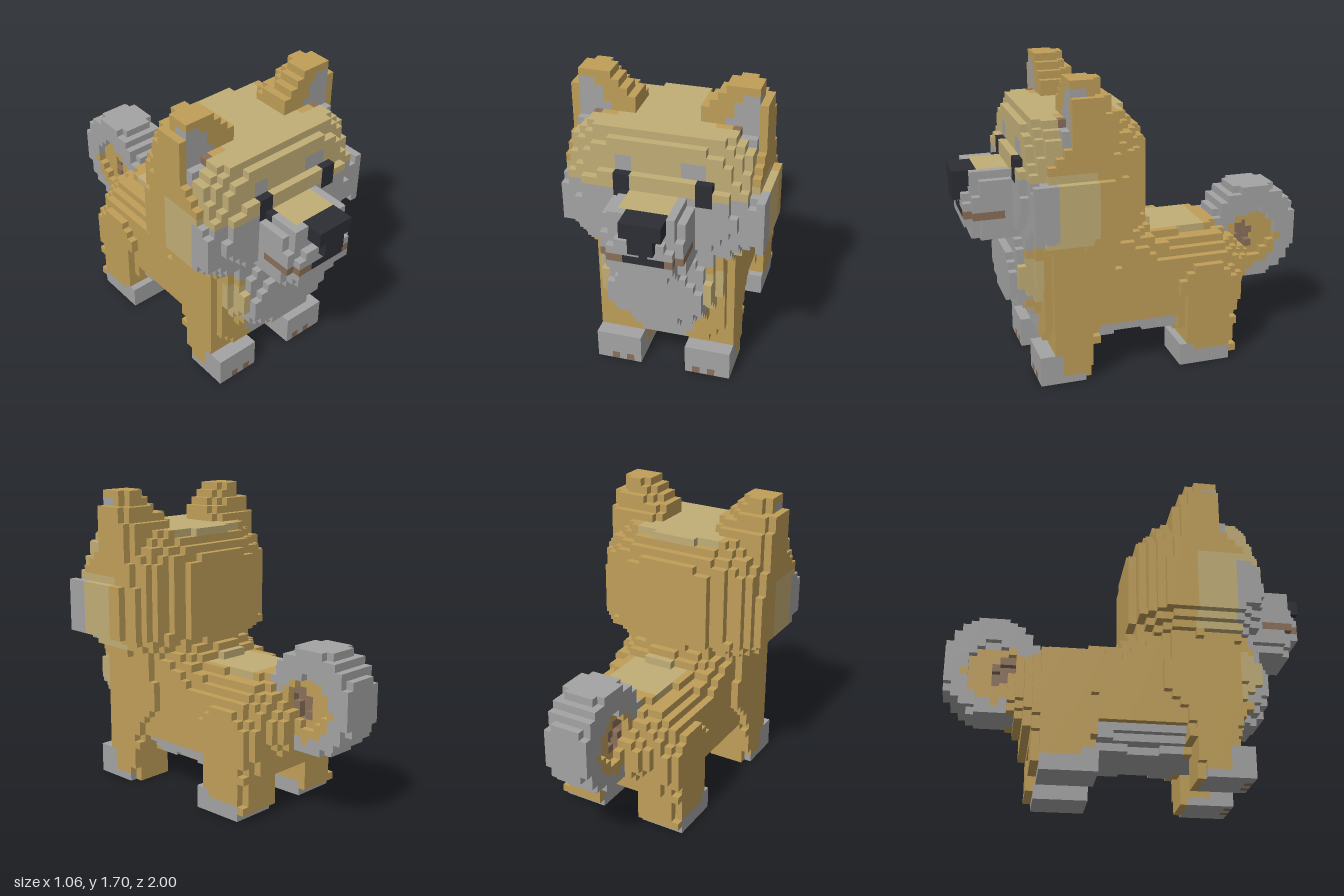
import * as THREE from 'three';

// Voxel grid: 25 wide, 40 high, 47 deep
const V = 2 / 47, NX = 25, NY = 40, NZ = 47;
const TAN = 0xbf9e58, CREAM = 0xc1ad76, GREY = 0xa3a3a3, DARK = 0x2c2e35, BROWN = 0x8a6f59;

// Interpolated sections [t, low, high, halfWidth]; null outside the range
function section(rows, t) {
  for (let i = 0; i < rows.length - 1; i++) {
    const a = rows[i], b = rows[i + 1];
    if (t >= a[0] && t <= b[0]) {
      const f = (t - a[0]) / (b[0] - a[0]);
      return [1, 2, 3].map((k) => a[k] + (b[k] - a[k]) * f);
    }
  }
  return null;
}

// Superellipse cross-section test; n may differ towards the low and high side
function loft(rows, t, x, u, nLow, nHigh = nLow) {
  const s = section(rows, t);
  if (!s) return false;
  const d = (u - (s[0] + s[1]) / 2) / ((s[1] - s[0]) / 2);
  const n = d > 0 ? nHigh : nLow;
  return Math.abs(d) ** n + Math.abs(x / s[2]) ** n <= 1.02;
}
const within = (v, lo, hi) => v > lo && v < hi;

const TORSO = [
  [-0.66, 0.38, 0.6, 0.18], [-0.55, 0.3, 0.7, 0.29], [-0.45, 0.22, 0.76, 0.35], [-0.2, 0.17, 0.77, 0.36],
  [-0.08, 0.17, 0.79, 0.35], [0, 0.17, 0.88, 0.35], [0.3, 0.17, 0.98, 0.37], [0.48, 0.2, 0.98, 0.37],
  [0.62, 0.36, 0.95, 0.32], [0.68, 0.39, 0.85, 0.28], [0.75, 0.45, 0.66, 0.22],
];
const HEAD = [
  [0.76, 0.1, 0.64, 0.38], [0.86, 0.02, 0.67, 0.46], [0.91, -0.02, 0.69, 0.52], [1.05, -0.02, 0.72, 0.525],
  [1.19, -0.02, 0.71, 0.52], [1.32, -0.02, 0.67, 0.5], [1.41, 0.04, 0.65, 0.47], [1.5, 0.1, 0.62, 0.36],
];
const MUZZLE = [
  [0.55, 0.8, 1.2, 0.235], [0.74, 0.8, 1.2, 0.23], [0.88, 0.8, 1.2, 0.2], [0.915, 0.86, 1.2, 0.18],
  [0.92, 0.86, 1.05, 0.175], [0.96, 0.93, 1.05, 0.15],
];
const FRONT_LEG = [
  [0, 0.34, 0.53, 0.385], [0.2, 0.3, 0.54, 0.385], [0.3, 0.24, 0.58, 0.385],
  [0.5, 0.12, 0.62, 0.385], [0.76, 0.1, 0.62, 0.385],
];
const HIND_LEG = [
  [0.04, -0.53, -0.25, 0.385], [0.2, -0.53, -0.21, 0.385], [0.3, -0.58, -0.17, 0.385],
  [0.5, -0.6, -0.15, 0.38], [0.64, -0.5, -0.2, 0.345],
];
// Ears: height, back, front, inner edge
const EAR = [
  [1.1, 0.17, 0.46, 0.3], [1.4, 0.17, 0.46, 0.17], [1.53, 0.2, 0.46, 0.17],
  [1.6, 0.25, 0.46, 0.23], [1.66, 0.28, 0.45, 0.265], [1.71, 0.28, 0.41, 0.31],
];
const tailRadius = (y, z) => Math.hypot((z + 0.745) / 0.262, (y - 0.66) / 0.285);
const legGap = (x, y) => y > 0.21 || Math.abs(x) > 0.128;

// Solid parts in order; a later part claims the cells it shares
const SOLIDS = [
  ['body', TAN, (x, y, z) => loft(TORSO, z, x, y, z > 0.5 ? 2.3 : 2.8, 2.5)],
  ['frontLegs', TAN, (x, y, z) => legGap(x, y) && loft(FRONT_LEG, y, x, z, y > 0.25 ? 4 : 7)],
  ['hindLegs', TAN, (x, y, z) => legGap(x, y) && loft(HIND_LEG, y, x, z, y > 0.25 ? 4 : 7)],
  ['frontPaws', GREY, (x, y, z) => within(Math.abs(x), 0.128, 0.385) &&
    ((y < 0.17 && within(z, 0.49, y > 0.13 ? 0.6 : 0.625)) || (y < 0.045 && within(z, 0.36, 0.6)))],
  ['hindPaws', GREY, (x, y, z) => within(Math.abs(x), 0.128, 0.385) &&
    ((y < 0.13 && within(z, -0.29, -0.19)) || (y < 0.085 && within(z, -0.49, -0.19)))],
  ['head', TAN, (x, y, z) => loft(HEAD, y, x, z, 2.5, 4)],
  ['cheeks', TAN, (x, y, z) => within(z, 0.23, 0.65) &&
    ((x > 0.5 && within(y, 0.9, 1.19)) || (Math.abs(x) < 0.515 && within(y, 0.95, 1.15)))],
  ['ears', TAN, (x, y, z) => {
    const s = section(EAR, y), a = Math.abs(x);
    if (!s) return false;
    const outer = y > 1.62 ? 0.47 : 0.515, back = z - s[0];
    return back > 0 && z < s[1] && within(a, s[2], outer) && back + Math.min(a - s[2], outer - a) > 0.07;
  }],
  ['muzzle', GREY, (x, y, z) => loft(MUZZLE, z, x, y, 3.6)],
  ['nose', DARK, (x, y, z) => within(y, 1.02, 1.2) && within(z, 0.87, 1.01) &&
    Math.abs(x - 0.021) < (y > 1.1 ? 0.1 : 0.06)],
  ['tail', GREY, (x, y, z) => {
    const r = tailRadius(y, z), a = Math.abs(x);
    return a < 0.13 && r < (a > 0.09 ? 0.98 : 1.03) && !(r < 0.5 && a > 0.09) &&
      !(a > 0.04 && Math.hypot(z + 0.66, y - 0.62) < 0.07);
  }],
  ['tailRoot', TAN, (x, y, z) => Math.abs(x) < 0.13 && within(z, -0.62, -0.45) && within(y, 0.42, 0.6)],
];

// Coloured patches that replace cells which are already filled
const PATCHES = [
  ['lightBack', CREAM, (x, y, z) => y > 0.72 && within(z, -0.42, -0.08) && Math.abs(x) < 0.17],
  ['lightShoulders', CREAM, (x, y, z) => within(y, 0.48, 0.74) && z > 0.58 && Math.abs(x) < 0.36],
  ['chest', GREY, (x, y, z) => within(y, 0.17, 0.8) && z > 0.45 && Math.abs(x) < Math.min(0.26, 0.12 + (y - 0.17) * 0.4)],
  ['belly', GREY, (x, y, z) => within(y, 0.16, 0.28) && within(z, -0.2, 0.56) && Math.abs(x) < (z > 0.27 ? 0.14 : 0.36)],
  ['lightFace', CREAM, (x, y, z) => y > 0.8 && z > (y > 1.4 ? 0.5 : 0.34) && Math.abs(x) < (y > 1.25 ? 0.46 : 0.6)],
  ['lightCrown', CREAM, (x, y, z) => within(y, 1.43, 1.5) && z > 0.06 && Math.abs(x) < 0.25],
  ['face', GREY, (x, y, z) => within(y, 0.77, 1.19) && z > 0.53 + Math.max(0, 0.9 - y) * 0.6 &&
    (y > 0.87 || Math.abs(x) < 0.38)],
  ['browSpots', GREY, (x, y, z) => within(y, 1.27, 1.36) && z > 0.6 && within(Math.abs(x - 0.021), 0.07, 0.23)],
  ['noseBridge', CREAM, (x, y, z) => y > 1.15 && within(z, 0.6, 0.87) && Math.abs(x) < 0.13],
  ['innerEars', GREY, (x, y, z) => within(y, 1.34, 1.64) && within(z, 0.38, 0.47) &&
    within(Math.abs(x), 0.31 + Math.abs(y - 1.5) * 0.5, 0.47)],
  ['innerEarCorners', BROWN, (x, y, z) => within(y, 1.45, 1.49) && within(z, 0.42, 0.47) && within(Math.abs(x), 0.34, 0.385)],
  ['tailCurl', TAN, (x, y, z) => Math.abs(x) > 0.04 && Math.abs(x) < 0.13 && Math.hypot(z + 0.73, y - 0.61) < 0.165],
  ['tailHollow', BROWN, (x, y, z) => Math.abs(x) < 0.09 && Math.hypot(z + 0.66, y - 0.62) < 0.1],
  ['toeGaps', BROWN, (x, y, z) => y < 0.05 && z > 0.58 && [0.19, 0.28].some((t) => Math.abs(Math.abs(x) - t) < 0.022)],
  ['mouth', BROWN, (x, y, z) => within(y, 0.94, 0.98) && z > 0.75 && Math.abs(x) < 0.23],
  ['lipLine', DARK, (x, y, z) => within(z, 0.88, 0.98) &&
    ((within(y, 0.94, 0.98) && Math.abs(x - 0.021) < 0.1) || (within(y, 0.98, 1.03) && Math.abs(x - 0.021) < 0.03))],
  ['eyes', DARK, (x, y, z) => within(y, 1.15, 1.28) && within(z, 0.58, 0.74) && within(Math.abs(x - 0.042), 0.17, 0.255)],
];

// Cube faces: outward normal and two edge directions with u x v = normal
const FACES = [0, 1, 2].flatMap((a) => [1, -1].map((s) => {
  const n = [0, 0, 0], u = [0, 0, 0], v = [0, 0, 0];
  n[a] = s;
  u[(a + 1) % 3] = s;
  v[(a + 2) % 3] = 1;
  return { n, u, v };
}));

export function createModel() {
  const group = new THREE.Group();
  group.name = 'dog';
  const cells = new Array(NX * NY * NZ).fill(null);
  const index = (i, j, k) => (i * NY + j) * NZ + k;
  const cellAt = (i, j, k) =>
    i < 0 || j < 0 || k < 0 || i >= NX || j >= NY || k >= NZ ? null : cells[index(i, j, k)];
  const colors = {}, data = {};
  for (const [name, color] of [...SOLIDS, ...PATCHES]) {
    colors[name] = color;
    data[name] = { pos: [], nor: [], idx: [] };
  }

  // Fill the grid; the body's mirror plane lies half a cell right of centre
  const eachCell = (fn) => {
    for (let i = 0; i < NX; i++) for (let j = 0; j < NY; j++) for (let k = 0; k < NZ; k++) fn(i, j, k);
  };
  eachCell((i, j, k) => {
    const p = [(i - 11.5) * V, (j + 0.5) * V, (k - 23) * V];
    let name = null;
    for (const [part, , test] of SOLIDS) if (test(...p)) name = part;
    if (name && name !== 'nose') for (const [part, , test] of PATCHES) if (test(...p)) name = part;
    cells[index(i, j, k)] = name;
  });

  // Only faces open to the air are built
  eachCell((i, j, k) => {
    const name = cellAt(i, j, k);
    if (!name) return;
    const c = [(i - 12) * V, (j + 0.5) * V, (k - 23) * V];
    const { pos, nor, idx } = data[name];
    for (const { n, u, v } of FACES) {
      if (cellAt(i + n[0], j + n[1], k + n[2])) continue;
      const b = pos.length / 3;
      for (const [su, sv] of [[-1, -1], [1, -1], [1, 1], [-1, 1]]) {
        for (let a = 0; a < 3; a++) pos.push(c[a] + (n[a] + su * u[a] + sv * v[a]) * V / 2);
        nor.push(...n);
      }
      idx.push(b, b + 1, b + 2, b, b + 2, b + 3);
    }
  });

  for (const [name, { pos, nor, idx }] of Object.entries(data)) {
    if (!idx.length) continue;
    const geo = new THREE.BufferGeometry();
    geo.setAttribute('position', new THREE.Float32BufferAttribute(pos, 3));
    geo.setAttribute('normal', new THREE.Float32BufferAttribute(nor, 3));
    geo.setIndex(idx);
    const mesh = new THREE.Mesh(geo, new THREE.MeshStandardMaterial({ color: colors[name] }));
    mesh.name = name;
    group.add(mesh);
  }
  return group;
}
